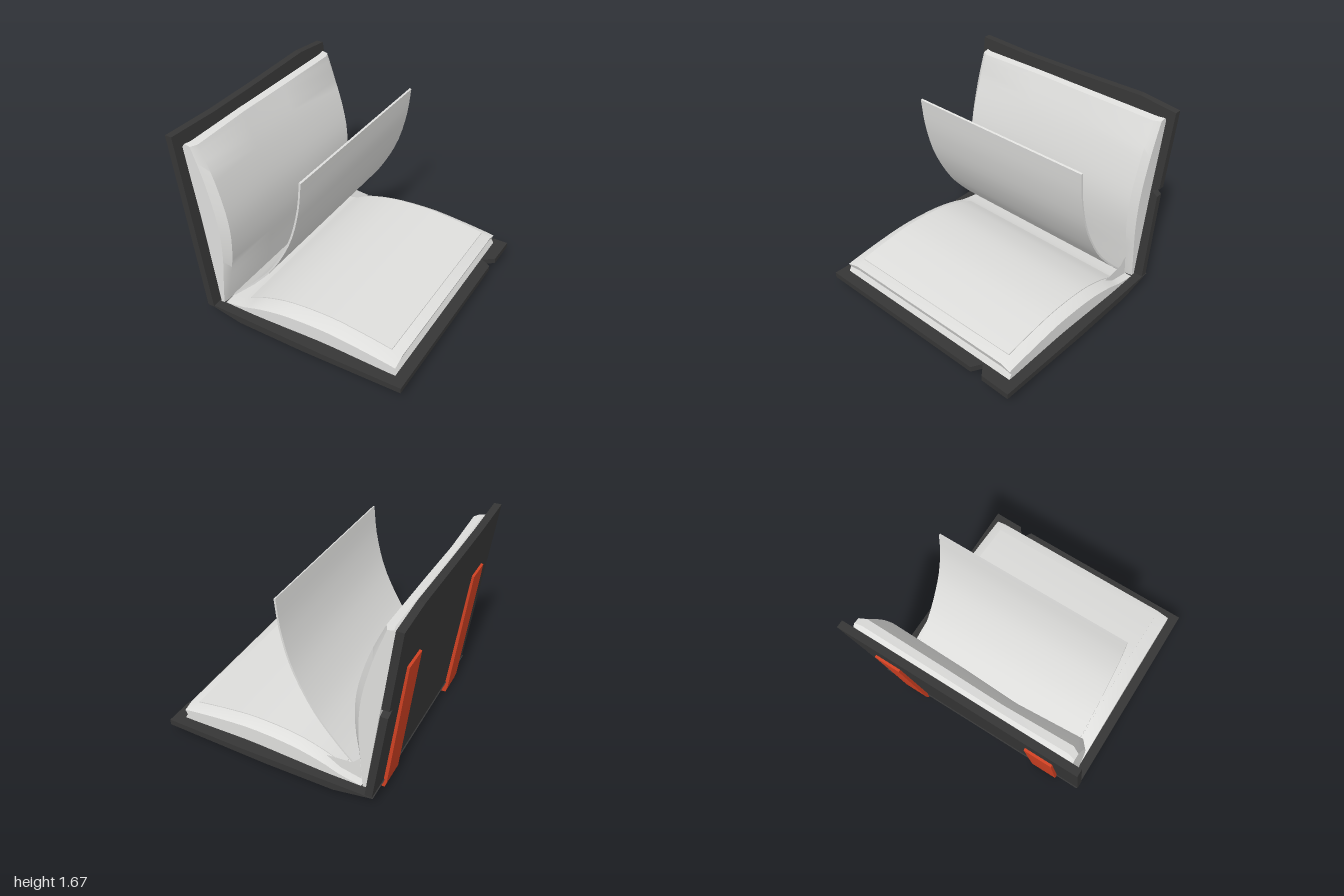
import * as THREE from 'three';
import { toCreasedNormals } from 'three/addons/utils/BufferGeometryUtils.js';

const material = (name, color) => {
  const m = new THREE.MeshStandardMaterial({ color, side: THREE.DoubleSide });
  m.name = name;
  return m;
};

// Solid through counter-clockwise xy sections, each { z, pts }, in order of rising z
function loft(sections, crease = 0.5) {
  const n = sections[0].pts.length;
  const pos = [];
  const index = [];
  sections.forEach(({ z, pts }) => pts.forEach(([x, y]) => pos.push(x, y, z)));
  for (let s = 0; s < sections.length - 1; s++) {
    for (let i = 0; i < n; i++) {
      const a = s * n + i;
      const b = s * n + (i + 1) % n;
      index.push(a, b, b + n, a, b + n, a + n);
    }
  }
  const cap = (pts) => THREE.ShapeUtils.triangulateShape(pts.map(([x, y]) => new THREE.Vector2(x, y)), []);
  const last = (sections.length - 1) * n;
  cap(sections[0].pts).forEach(([a, b, c]) => index.push(a, c, b));
  cap(sections[sections.length - 1].pts).forEach(([a, b, c]) => index.push(last + a, last + b, last + c));
  const g = new THREE.BufferGeometry();
  g.setAttribute('position', new THREE.Float32BufferAttribute(pos, 3));
  g.setIndex(index);
  return toCreasedNormals(g, crease);
}

// Smooth curve through a few points
const smooth = (pts, count) => new THREE.SplineCurve(pts.map(([x, y]) => new THREE.Vector2(x, y)))
  .getPoints(count).map((p) => [p.x, p.y]);

// Page block: base curve and crown curve, the crown sinking toward the base by each station's height
function pageBlock(base, crown, stations, dent) {
  const low = smooth(base, 20);
  const high = smooth(crown, 20);
  return loft(stations.map(([z, h]) => {
    const top = high.map(([x, y], i) => [low[i][0] + (x - low[i][0]) * h, low[i][1] + (y - low[i][1]) * h]);
    const a = low[20];
    const b = top[20];
    const edge = [(a[0] + b[0]) / 2 + dent[0], (a[1] + b[1]) / 2 + dent[1]];
    return { z, pts: [...low, edge, ...top.reverse()] };
  }), 0.7);
}

// Thin sheet following a path, thickened by (dx, dy)
function sheet(path, z0, z1, dx, dy) {
  const line = smooth(path, 20);
  const pts = [...line, ...line.map(([x, y]) => [x + dx, y + dy]).reverse()];
  return loft([{ z: z0, pts }, { z: z1, pts }]);
}

export function createModel() {
  const book = new THREE.Group();
  book.name = 'openBook';
  const black = material('coverBlack', 0x363636);
  const paper = material('paper', 0xdededc);
  const red = material('strapRed', 0xcf4022);
  const add = (name, geometry, mat) => {
    const mesh = new THREE.Mesh(geometry, mat);
    mesh.name = name;
    book.add(mesh);
  };

  // Lying cover with a nick in its outer edge
  add('lowerCover', loft([[-0.99, 0.995], [-0.73, 0.99], [-0.66, 0.9], [-0.61, 0.985], [0.985, 0.98]].map(([z, r]) => ({
    z,
    pts: [[-0.83, 0.11], [-0.5, 0.05], [0.1, 0.055], [r, 0.095], [r, 0.145], [0.3, 0.122], [-0.73, 0.115]],
  })), 0.3), black);

  // Upright cover: flat slab, leaning back, nicked at the rear edge
  const outline = new THREE.Shape([
    [0.99, 0.105], [0.99, 1.67], [0.5, 1.655], [0, 1.66], [-0.65, 1.675], [-0.98, 1.64],
    [-0.975, 0.97], [-0.91, 0.94], [-0.97, 0.9], [-0.985, 0.105],
  ].map(([z, y]) => new THREE.Vector2(z, y)));
  const slab = new THREE.ExtrudeGeometry(outline, { depth: 0.06, bevelEnabled: false });
  slab.rotateY(-Math.PI / 2);
  const p = slab.attributes.position;
  for (let i = 0; i < p.count; i++) p.setX(i, p.getX(i) - 0.76 - (p.getY(i) - 0.11) * 0.1155);
  slab.computeVertexNormals();
  add('uprightCover', slab, black);

  // Page blocks on both covers
  const crown = [[-0.7, 0.118], [-0.52, 0.165], [-0.36, 0.24], [-0.1, 0.312], [0.25, 0.338], [0.55, 0.315], [0.8, 0.28], [0.885, 0.262]];
  const lowerBase = [[-0.7, 0.112], [-0.52, 0.116], [-0.36, 0.12], [-0.1, 0.135], [0.25, 0.155], [0.55, 0.155], [0.8, 0.153], [0.89, 0.155]];
  add('lowerPages', pageBlock(lowerBase, crown,
    [[-0.915, 0.75], [-0.83, 1], [0.79, 1], [0.905, 0.7]], [-0.02, 0]), paper);

  // Listed from fore edge to spine reversed, so the crown faces +x
  const uprightBase = [[-0.92, 1.56], [-0.885, 1.3], [-0.835, 0.95], [-0.8, 0.65], [-0.765, 0.35], [-0.74, 0.12]].reverse();
  const uprightCrown = [[-0.82, 1.58], [-0.7, 1.29], [-0.615, 0.95], [-0.61, 0.65], [-0.66, 0.35], [-0.7, 0.12]].reverse();
  const uprightPages = pageBlock(uprightCrown, uprightBase, [[-0.9, 1], [0.9, 1]], [0, 0.015]);
  // Round the long edges and hollow the middle of the upright block
  const rows = [[-0.915, 0.7], [-0.86, 0.97], [-0.2, 0.92], [0.3, 0.84], [0.86, 1], [0.915, 0.72]];
  uprightPages.dispose();
  const inner = smooth(uprightBase, 20);
  const outer = smooth(uprightCrown, 20);
  add('uprightPages', loft(rows.map(([z, h]) => {
    const face = outer.map(([x, y], i) => [inner[i][0] + (x - inner[i][0]) * h, y]);
    const tip = [(inner[20][0] + face[20][0]) / 2 - 0.015, 1.59];
    return { z, pts: [...face, tip, ...inner.slice().reverse()] };
  }), 0.7), paper);

  // Single sheet resting on the lower block
  add('topSheet', sheet(crown.slice(1, 7).map(([x, y]) => [x, y + 0.004]), -0.83, 0.8, 0, 0.008), paper);

  // Leaf caught in mid turn
  add('turningLeaf', sheet(
    [[-0.7, 0.13], [-0.6, 0.23], [-0.45, 0.385], [-0.27, 0.61], [-0.1, 0.93], [-0.01, 1.24], [0.025, 1.51]],
    -0.83, 0.8, 0.015, -0.005), paper);

  // Crumpled corner by the spine at the rear
  const flap = new THREE.Shape([[-0.68, 0.13], [-0.5, 0.17], [-0.38, 0.245], [-0.6, 0.265], [-0.66, 0.33]]
    .map(([x, y]) => new THREE.Vector2(x, y)));
  const flapGeometry = new THREE.ShapeGeometry(flap);
  flapGeometry.translate(0, 0, -0.86);
  add('crumpledCorner', flapGeometry, paper);

  // Two bent straps around the outside of the covers
  for (const [name, z0, z1, y, end] of [['frontStrap', 0.55, 0.78, 0, 0.545], ['rearStrap', -0.77, -0.55, 0.035, 0.5]]) {
    const pts = [
      [-0.968, 1.22], [-0.845, 0.06 + y / 2], [-0.83, y], [end, y], [end, 0.07],
      [0.1, 0.057], [-0.5, 0.053], [-0.815, 0.105], [-0.945, 1.225],
    ];
    add(name, loft([{ z: z0, pts }, { z: z1, pts }], 0.3), red);
  }
  return book;
}
